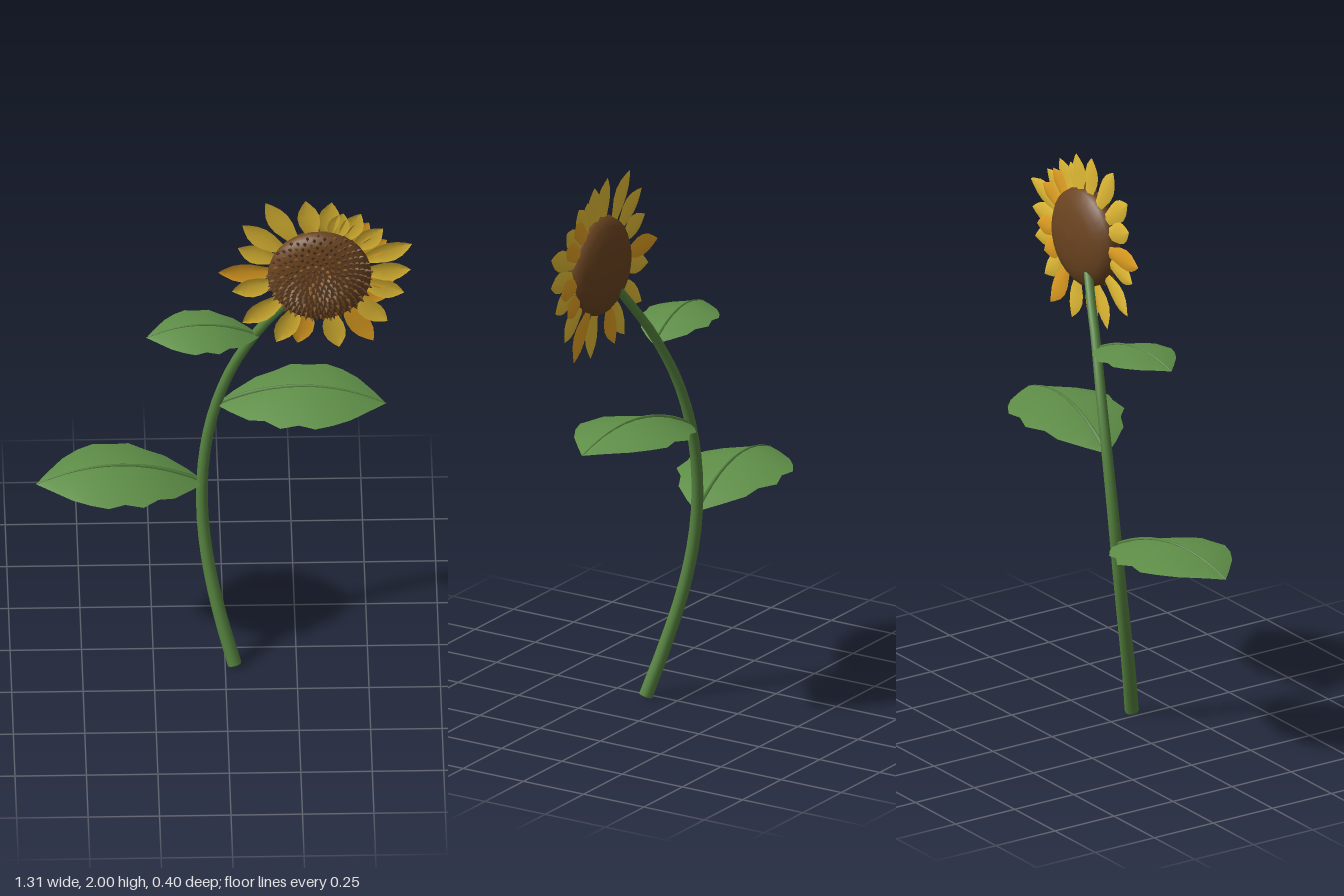
import * as THREE from 'three';
import { mergeGeometries } from 'three/addons/utils/BufferGeometryUtils.js';

const V = (x, y, z) => new THREE.Vector3(x, y, z);

function material(name, color, side = THREE.FrontSide) {
  const m = new THREE.MeshStandardMaterial({ color, side });
  m.name = name;
  return m;
}

function mesh(name, geometry, mat) {
  const m = new THREE.Mesh(geometry, mat);
  m.name = name;
  return m;
}

// Skin a blade from rows of three points: one edge, midline, other edge
function blade(rows) {
  const pos = [], idx = [];
  rows.forEach(r => r.forEach(p => pos.push(p.x, p.y, p.z)));
  for (let i = 0; i < rows.length - 1; i++) {
    for (let j = 0; j < 2; j++) {
      const a = i * 3 + j, b = a + 3;
      idx.push(a, b, a + 1, b, b + 1, a + 1);
    }
  }
  const g = new THREE.BufferGeometry();
  g.setAttribute('position', new THREE.Float32BufferAttribute(pos, 3));
  g.setIndex(idx);
  g.computeVertexNormals();
  return g;
}

// Tube whose radius runs evenly from r0 to r1
function taperedTube(curve, segments, sides, r0, r1) {
  const g = new THREE.TubeGeometry(curve, segments, 1, sides);
  const p = g.attributes.position, v = V(0, 0, 0);
  for (let i = 0; i < p.count; i++) {
    const t = Math.floor(i / (sides + 1)) / segments;
    const c = curve.getPointAt(t);
    v.fromBufferAttribute(p, i).sub(c).multiplyScalar(r0 + (r1 - r0) * t).add(c);
    p.setXYZ(i, v.x, v.y, v.z);
  }
  return g;
}

// Arched leaf with a scalloped outline and a raised midrib
const LEAF_OUTLINE = [[0, 0.012], [0.08, 0.065], [0.2, 0.13], [0.3, 0.15], [0.4, 0.195], [0.51, 0.183],
  [0.61, 0.197], [0.71, 0.17], [0.81, 0.128], [0.93, 0.05], [1, 0]];

function makeLeaf(name, base, tip, arch, widthScale, leafMat, ribMat) {
  const mid = t => base.clone().lerp(tip, t).add(V(0, arch * 4 * t * (1 - t), 0));
  const along = tip.clone().sub(base).setY(0).normalize();
  const side = V(-along.z, 0, along.x);
  const rows = LEAF_OUTLINE.map(([t, w]) => {
    const hw = w * widthScale, c = mid(t), drop = V(0, -0.22 * hw, 0);
    return [1, 0, -1].map(s => c.clone().addScaledVector(side, s * hw).addScaledVector(drop, Math.abs(s)));
  });
  const rib = new THREE.CatmullRomCurve3(LEAF_OUTLINE.map(([t]) => mid(t)));
  const group = new THREE.Group();
  group.name = name;
  group.add(mesh('leafBlade', blade(rows), leafMat));
  group.add(mesh('leafMidrib', taperedTube(rib, 12, 5, 0.009 * widthScale, 0.002), ribMat));
  return group;
}

// Pointed petal lying along +x, its midline slightly hollowed
const PETAL_OUTLINE = [[0, 0.014], [0.2, 0.025], [0.42, 0.037], [0.6, 0.039], [0.76, 0.031], [0.9, 0.015], [1, 0]];

function makePetal(inner, outer) {
  return blade(PETAL_OUTLINE.map(([t, w]) => {
    const x = inner + (outer - inner) * t, z = 0.008 * Math.sin(Math.PI * t);
    return [V(x, -w, z), V(x, 0, z - w * 0.3), V(x, w, z)].reverse();
  }));
}

export function createModel() {
  const root = new THREE.Group();
  root.name = 'sunflower';
  const stemGreen = material('stem green', 0x56833f);
  const leafGreen = material('leaf green', 0x5f8f48, THREE.DoubleSide);
  const yellow = material('petal yellow', 0xe3bc35, THREE.DoubleSide);
  const orange = material('petal amber', 0xe2a022, THREE.DoubleSide);
  const brown = material('disc brown', 0x6b4420);
  const seedDark = material('seed brown', 0x5f3d1f);
  const seedLight = material('seed tan', 0x8a5c2e);

  // Curved stem with a flat cut at the foot
  const path = new THREE.CatmullRomCurve3([
    V(0.033, 0.008, 0.11), V(-0.02, 0.2, 0.06), V(-0.06, 0.4, 0.012), V(-0.078, 0.6, -0.022),
    V(-0.07, 0.8, -0.038), V(-0.035, 1.0, -0.038), V(0.03, 1.2, -0.02), V(0.13, 1.4, 0.022),
    V(0.19, 1.49, 0.047), V(0.26, 1.59, 0.08)]);
  root.add(mesh('stem', taperedTube(path, 24, 10, 0.025, 0.016), stemGreen));
  const foot = mesh('stemFoot', new THREE.CircleGeometry(0.025, 10), stemGreen);
  foot.position.copy(path.getPointAt(0));
  foot.lookAt(foot.position.clone().sub(path.getTangentAt(0)));
  root.add(foot);

  // Leaves
  root.add(makeLeaf('lowerLeaf', V(-0.075, 0.695, -0.035), V(-0.66, 0.74, 0.035), 0.075, 1, leafGreen, stemGreen));
  root.add(makeLeaf('middleLeaf', V(-0.02, 1.03, -0.035), V(0.565, 1.07, 0.035), 0.075, 1, leafGreen, stemGreen));
  root.add(makeLeaf('upperLeaf', V(0.12, 1.36, 0.02), V(-0.275, 1.39, 0.068), 0.05, 0.69, leafGreen, stemGreen));

  // Flower head
  const head = new THREE.Group();
  head.name = 'flowerHead';
  head.position.set(0.33, 1.69, 0.11);
  root.add(head);

  const profile = [[0, -0.063], [0.06, -0.059], [0.11, -0.05], [0.15, -0.035], [0.174, -0.015], [0.182, 0.008],
    [0.174, 0.03], [0.145, 0.047], [0.1, 0.058], [0.05, 0.063], [0, 0.065]].map(p => new THREE.Vector2(...p));
  const disc = new THREE.LatheGeometry(profile, 28).rotateX(Math.PI / 2);
  head.add(mesh('disc', disc, brown));

  // Seeds in a spiral over the front of the disc
  const seeds = [[], []];
  const count = 260;
  for (let i = 0; i < count; i++) {
    const r = 0.179 * Math.sqrt((i + 0.5) / count), a = i * 2.39996;
    const k = r / 0.184, z = 0.065 * Math.pow(1 - k * k, 0.42);
    const n = V(Math.cos(a) * k * 0.9, Math.sin(a) * k * 0.9, 1.05 - k * 0.6).normalize();
    const cone = new THREE.ConeGeometry(0.0095, 0.022, 5, 1, true);
    cone.applyQuaternion(new THREE.Quaternion().setFromUnitVectors(V(0, 1, 0), n));
    cone.translate(Math.cos(a) * r + n.x * 0.006, Math.sin(a) * r + n.y * 0.006, z + n.z * 0.006);
    seeds[i % 4 === 0 ? 1 : 0].push(cone);
  }
  head.add(mesh('darkSeeds', mergeGeometries(seeds[0]), seedDark));
  head.add(mesh('lightSeeds', mergeGeometries(seeds[1]), seedLight));

  // Petals: angle in degrees, reach, amber or not
  const petals = [[2, 0.32, 0], [20, 0.345, 0], [29, 0.27, 1], [40, 0.29, 0], [50, 0.27, 1], [60, 0.29, 0], [72, 0.27, 0],
    [82, 0.305, 0], [99, 0.316, 0], [122, 0.357, 0], [142, 0.343, 0], [159, 0.306, 0], [180, 0.355, 1],
    [194, 0.316, 0], [218, 0.343, 0], [243, 0.334, 0], [256, 0.318, 1], [282, 0.33, 0], [302, 0.357, 1],
    [318, 0.32, 0], [332, 0.26, 1], [343, 0.31, 0], [353, 0.275, 1]];
  petals.forEach(([deg, reach, amber], i) => {
    const petal = mesh('petal', makePetal(0.15, reach), amber ? orange : yellow);
    petal.rotation.z = THREE.MathUtils.degToRad(deg);
    petal.position.z = (amber ? -0.012 : 0) - (i % 2) * 0.004;
    head.add(petal);
  });

  return root;
}
